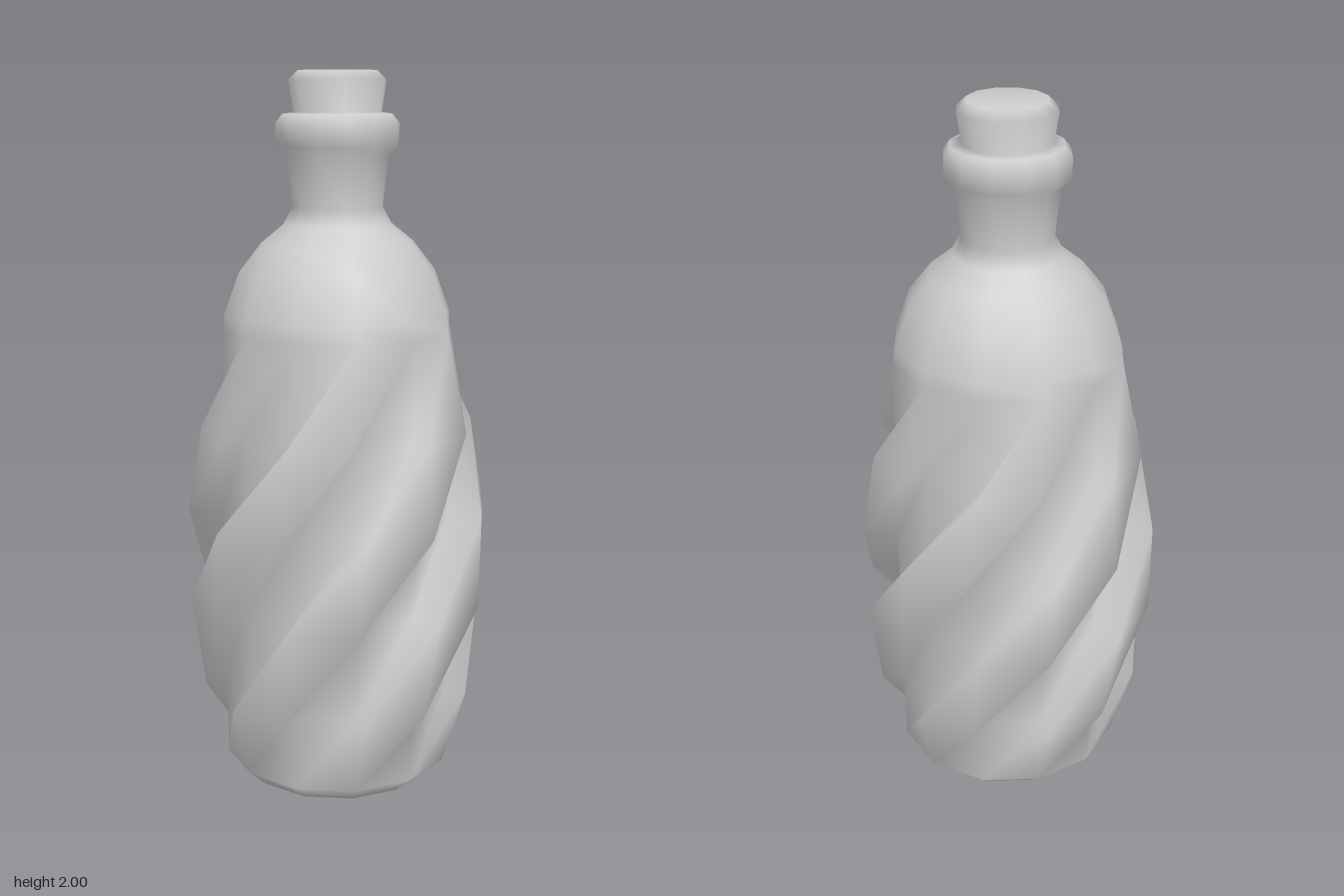
import * as THREE from 'three';
import { mergeVertices } from 'three/addons/utils/BufferGeometryUtils.js';

const RIBS = 6;
const rad = THREE.MathUtils.degToRad;

// Spiral body rings: height, groove radius, twist in degrees, rib radius, rib start and end angle
const BODY = [
  [0.05, 0.325, -60, 0.325, 0, 30],
  [0.26, 0.325, -30, 0.387, 2, 28.5],
  [0.53, 0.327, 0, 0.425, 1.5, 29],
  [0.78, 0.327, 30, 0.425, 1, 28],
  [1.03, 0.324, 60, 0.387, 0.5, 26],
  [1.3, 0.322, 90, 0.322, 0, 30],
];

// Plain rings: radius, height
const BASE = [[0, 0], [0.27, 0]];
const TOP = [
  [0.317, 1.345], [0.275, 1.46], [0.212, 1.54], [0.15, 1.59], [0.127, 1.635],
  [0.143, 1.775], [0.17, 1.8], [0.172, 1.86], [0.152, 1.885], [0.122, 1.89],
  [0.135, 1.975], [0.108, 2], [0, 2],
];

const plainRing = (twist) => ([r, y]) => [y, r, twist, r, 0, 30];
const RINGS = [...BASE.map(plainRing(-60)), ...BODY, ...TOP.map(plainRing(90))];

// Lofted bottle: raised ribs alternate with grooves and wind up the body
function bottleGeometry() {
  const positions = [];
  const index = [];
  const n = RIBS * 4;
  for (const [y, groove, twist, rib, start, end] of RINGS) {
    for (let f = 0; f < RIBS; f++) {
      const section = [[0, groove], [start, rib], [end, rib], [30, groove]];
      for (const [angle, r] of section) {
        const a = rad(twist + f * 60 + angle);
        positions.push(r * Math.sin(a), y, r * Math.cos(a));
      }
    }
  }
  for (let k = 0; k < RINGS.length - 1; k++) {
    for (let j = 0; j < n; j++) {
      const a = k * n + j;
      const b = k * n + ((j + 1) % n);
      index.push(a, b, a + n, b, b + n, a + n);
    }
  }
  const geometry = new THREE.BufferGeometry();
  geometry.setAttribute('position', new THREE.Float32BufferAttribute(positions, 3));
  geometry.setIndex(index);
  const merged = mergeVertices(geometry, 1e-4);
  merged.computeVertexNormals();
  return merged;
}

export function createModel() {
  const group = new THREE.Group();
  group.name = 'bottle';
  const material = new THREE.MeshStandardMaterial({ color: 0xcccccc });

  // Body, neck, collar and stopper form one smooth skin
  const body = new THREE.Mesh(bottleGeometry(), material);
  body.name = 'stopperedBottle';
  group.add(body);

  return group;
}
